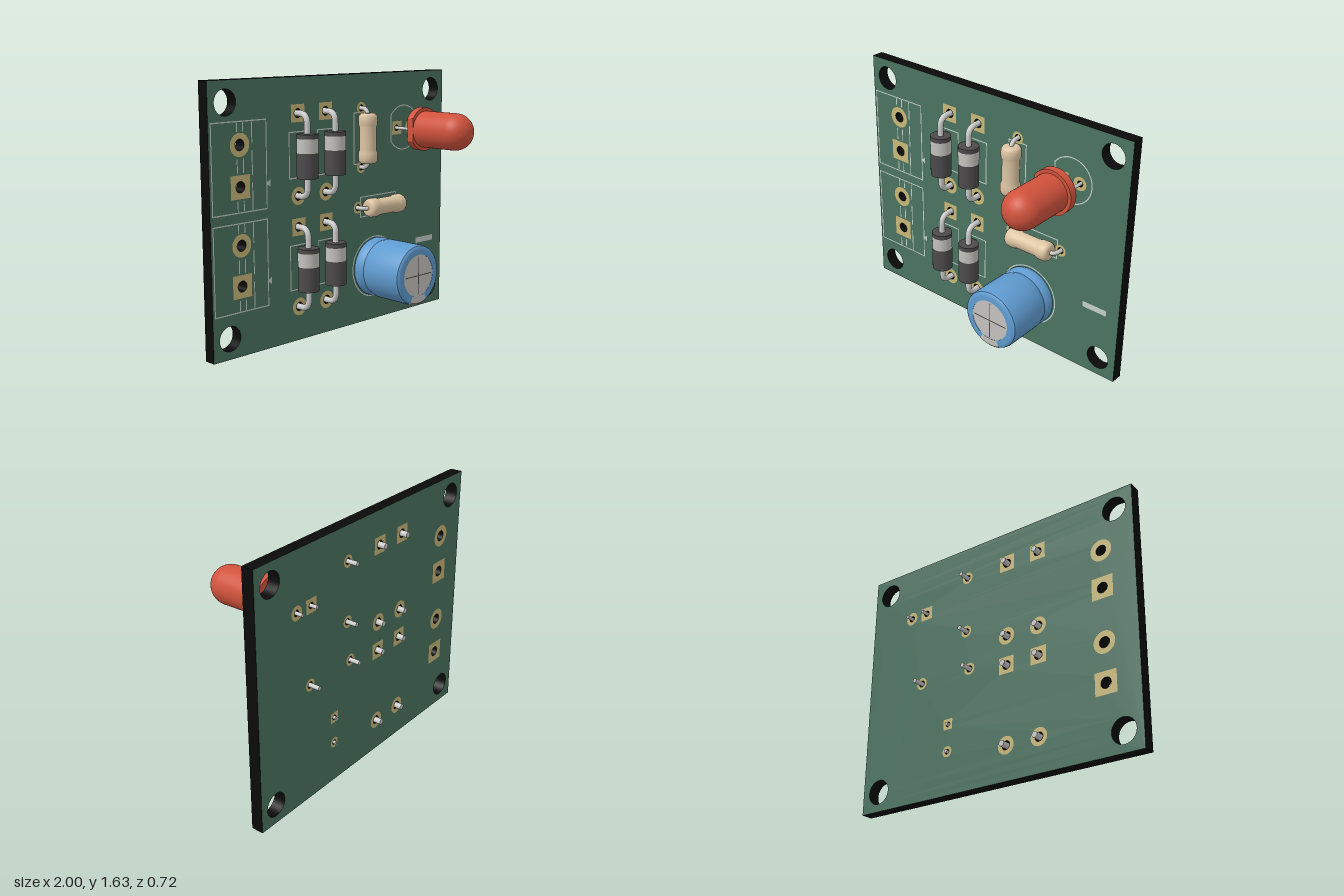
import * as THREE from 'three';
import { toCreasedNormals } from 'three/addons/utils/BufferGeometryUtils.js';

const FRONT = -0.212, BACK = -0.29;
const mat = (color, side = THREE.FrontSide) => new THREE.MeshStandardMaterial({ color, side });
const V = (x, y, z) => new THREE.Vector3(x, y, z);
const green = mat(0x4b7361), black = mat(0x0a0a0a), gold = mat(0xc8b878, THREE.DoubleSide);
const ink = mat(0xc4cec8, THREE.DoubleSide), metal = mat(0xcccccc), dark = mat(0x4c4a4a);
const tan = mat(0xdcc4a2), red = mat(0xd0523c), blue = mat(0x5f9bd0), grey = mat(0xc4c2be);

function add(parent, name, geometry, material, x = 0, y = 0, z = 0) {
  const m = new THREE.Mesh(geometry, material);
  m.name = name;
  m.position.set(x, y, z);
  parent.add(m);
  return m;
}
function group(parent, name, x = 0, y = 0, z = 0) {
  const g = new THREE.Group();
  g.name = name;
  g.position.set(x, y, z);
  parent.add(g);
  return g;
}
const circlePath = (x, y, r) => new THREE.Path().absarc(x, y, r, 0, Math.PI * 2, true);
const rectShape = (w, h) => new THREE.Shape([[-1, -1], [1, -1], [1, 1], [-1, 1]].map(([a, b]) => new THREE.Vector2(a * w / 2, b * h / 2)));
// Lathe about z, with the profile given as [radius, z]; angle 0 points down
function turned(profile, start = 0, length = Math.PI * 2, segs = 48) {
  const g = new THREE.LatheGeometry(profile.map(p => new THREE.Vector2(...p)), segs, start, length);
  return toCreasedNormals(g.rotateX(Math.PI / 2), 0.6);
}

// Solder pads: x, y, outer radius, hole radius, square?
const pads = [];
for (const y of [1.015, 0.425]) pads.push([-0.78, y, 0.07, 0.034, true], [-0.78, y + 0.245, 0.07, 0.034, false]);
for (const x of [-0.335, -0.105])
  for (const y of [1.163, 0.467]) pads.push([x, y + 0.252, 0.054, 0.028, true], [x, y - 0.252, 0.056, 0.028, false]);
pads.push([0.207, 1.415, 0.039, 0.021], [0.207, 1.035, 0.039, 0.021], [0.176, 0.772, 0.039, 0.021], [0.556, 0.772, 0.039, 0.021]);
pads.push([0.541, 1.265, 0.044, 0.02, true], [0.667, 1.265, 0.044, 0.02], [0.332, 0.447, 0.034, 0.016, true], [0.332, 0.272, 0.034, 0.016]);

function buildBoard(root) {
  const shape = new THREE.Shape([[-1, 0], [1, 0], [1, 1.633], [-1, 1.633]].map(p => new THREE.Vector2(...p)));
  for (const x of [-0.877, 0.875]) for (const y of [0.126, 1.507]) shape.holes.push(circlePath(x, y, 0.077));
  for (const [x, y, , h] of pads) shape.holes.push(circlePath(x, y, h));
  const geo = new THREE.ExtrudeGeometry(shape, { depth: FRONT - BACK, bevelEnabled: false, curveSegments: 24 });
  add(root, 'circuitBoard', geo, [green, black], 0, 0, BACK);

  const g = group(root, 'solderPads');
  for (const [x, y, r, h, square] of pads) {
    const s = square ? rectShape(r * 2, r * 2) : new THREE.Shape().absarc(0, 0, r, 0, Math.PI * 2);
    s.holes.push(circlePath(0, 0, h));
    const pad = new THREE.ShapeGeometry(s, 24);
    for (const z of [FRONT + 0.002, BACK - 0.002]) add(g, 'solderPad', pad, gold, x, y, z);
  }
}

// Printed outlines on the front of the board
function buildPrint(root) {
  const g = group(root, 'printedOutlines', 0, 0, FRONT + 0.0015);
  const line = (x1, y1, x2, y2) => add(g, 'printedLine',
    new THREE.PlaneGeometry(Math.abs(x2 - x1) + 0.007, Math.abs(y2 - y1) + 0.007), ink, (x1 + x2) / 2, (y1 + y2) / 2);
  const frame = (x, y, w, h) => {
    for (const s of [-1, 1]) {
      line(x - w / 2, y + s * h / 2, x + w / 2, y + s * h / 2);
      line(x + s * w / 2, y - h / 2, x + s * w / 2, y + h / 2);
    }
  };
  for (const y of [1.13, 0.537]) {
    frame(-0.783, y, 0.4, 0.53);
    for (const x of [-0.8, -0.755])
      for (const [a, b] of [[-0.255, -0.2], [-0.03, 0.045], [0.21, 0.255]]) line(x, y + a, x, y + b);
    for (const [a, b] of [[-0.255, -0.1], [-0.05, 0.09], [0.14, 0.255]]) line(-0.69, y + a, -0.69, y + b);
    const tri = new THREE.Shape([[-0.59, 0], [-0.555, -0.022], [-0.555, 0.022]].map(p => new THREE.Vector2(...p)));
    add(g, 'printedArrow', new THREE.ShapeGeometry(tri), ink, 0, y - 0.115);
  }
  for (const x of [-0.335, -0.105]) for (const y of [1.163, 0.467]) frame(x, y, 0.14, 0.28);
  frame(0.207, 1.222, 0.13, 0.33);
  frame(0.366, 0.772, 0.33, 0.13);
  add(g, 'capacitorRing', new THREE.RingGeometry(0.198, 0.206, 48), ink, 0.332, 0.36);
  add(g, 'lampRing', new THREE.RingGeometry(0.143, 0.15, 48, 1, -2.5, 5), ink, 0.604, 1.265);
  line(0.485, 1.177, 0.485, 1.353);
  add(g, 'printedBar', new THREE.PlaneGeometry(0.17, 0.038), ink, 0.826, 0.47);
}

// One wire bent at both ends and passing through the body, along local y
function bentLead(parent, half, depth, bend, r) {
  const path = new THREE.CurvePath();
  const a = [V(0, -half, depth), V(0, -half, -bend), V(0, -half, 0), V(0, -half + bend, 0)];
  const b = a.map(p => V(0, -p.y, p.z));
  path.add(new THREE.LineCurve3(a[0], a[1]));
  path.add(new THREE.QuadraticBezierCurve3(a[1], a[2], a[3]));
  path.add(new THREE.LineCurve3(a[3], b[3]));
  path.add(new THREE.QuadraticBezierCurve3(b[3], b[2], b[1]));
  path.add(new THREE.LineCurve3(b[1], b[0]));
  add(parent, 'lead', new THREE.TubeGeometry(path, 100, r, 14, false), metal);
  for (const s of [-1, 1]) add(parent, 'leadEnd', new THREE.CircleGeometry(r, 14).rotateY(Math.PI), metal, 0, s * half, depth);
}
function straightLead(parent, x, y, z0, z1, r) {
  add(parent, 'lead', new THREE.CylinderGeometry(r, r, z1 - z0, 14).rotateX(Math.PI / 2), metal, x, y, (z0 + z1) / 2);
}

function buildDiode(root, x, y) {
  const g = group(root, 'diode', x, y, -0.125);
  bentLead(g, 0.252, -0.21, 0.06, 0.019);
  for (const [name, a, b, m] of [['diodeBody', -0.134, 0.02, dark], ['diodeBand', 0.02, 0.106, grey], ['diodeTop', 0.106, 0.134, dark]])
    add(g, name, new THREE.CylinderGeometry(0.066, 0.066, b - a, 36), m, 0, (a + b) / 2);
}

function buildResistor(root, x, y, turn) {
  const g = group(root, 'resistor', x, y, -0.15);
  g.rotation.z = turn;
  bentLead(g, 0.19, -0.21, 0.05, 0.014);
  const end = [[0.054, 0.072], [0.061, 0.09], [0.062, 0.115], [0.061, 0.14], [0.052, 0.156], [0.035, 0.161], [0, 0.161]];
  const profile = [...end.map(([r, h]) => [r, -h]).reverse(), ...end];
  add(g, 'resistorBody', new THREE.LatheGeometry(profile.map(p => new THREE.Vector2(...p)), 36), tan);
}

function buildLamp(root) {
  const g = group(root, 'lamp', 0.604, 1.265, 0);
  const profile = [[0.119, -0.03], [0.119, 0.24]];
  for (let i = 1; i <= 14; i++) {
    const a = i / 14 * Math.PI / 2;
    profile.push([0.119 * Math.cos(a), 0.24 + 0.119 * Math.sin(a)]);
  }
  add(g, 'lampDome', turned(profile), red);
  // Collar with one flat side
  const a = Math.acos(-0.119 / 0.141);
  const collar = new THREE.Shape().absarc(0, 0, 0.141, -a, a, false);
  const geo = new THREE.ExtrudeGeometry(collar, { depth: 0.05, bevelEnabled: false, curveSegments: 48 });
  add(g, 'lampCollar', toCreasedNormals(geo, 0.5), red, 0, 0, -0.065);
  for (const s of [-1, 1]) straightLead(g, s * 0.063, 0, -0.335, -0.06, 0.011);
}

function buildCapacitor(root) {
  const g = group(root, 'capacitor', 0.332, 0.362, 0);
  const side = [[0.18, -0.211], [0.19, -0.206], [0.195, -0.195], [0.195, -0.165], [0.19, -0.15], [0.184, -0.132],
    [0.19, -0.114], [0.195, -0.1], [0.195, 0.155], [0.191, 0.17], [0.18, 0.179], [0.168, 0.181], [0.136, 0.181]];
  add(g, 'capacitorSleeve', turned([[0, -0.211], ...side, [0.136, 0.178], [0, 0.178]]), blue);
  add(g, 'capacitorTop', new THREE.CircleGeometry(0.137, 48), grey, 0, 0, 0.1795);
  for (const s of [[0.25, 0.006], [0.006, 0.25]]) add(g, 'ventGroove', new THREE.PlaneGeometry(...s), dark, 0, 0, 0.1805);
  // Polarity stripe down the underside and over the rim
  const lift = side.map(([r, z], i) => [r + (i < 11 ? 0.0015 : 0), z + (i > 9 ? 0.0015 : 0)]);
  add(g, 'polarityStripe', turned(lift, -0.42, 0.84, 10), grey);
  for (const z of [-0.06, 0.04, 0.13])
    add(g, 'stripeDash', turned([[0.198, z - 0.03], [0.198, z + 0.015]], -0.06, 0.12, 3), dark);
  for (const y of [0.085, -0.09]) straightLead(g, 0, y, -0.306, -0.2, 0.011);
}

export function createModel() {
  const root = new THREE.Group();
  root.name = 'powerConverterBoard';
  buildBoard(root);
  buildPrint(root);
  for (const x of [-0.335, -0.105]) for (const y of [1.163, 0.467]) buildDiode(root, x, y);
  buildResistor(root, 0.207, 1.225, 0);
  buildResistor(root, 0.366, 0.772, Math.PI / 2);
  buildLamp(root);
  buildCapacitor(root);
  return root;
}
